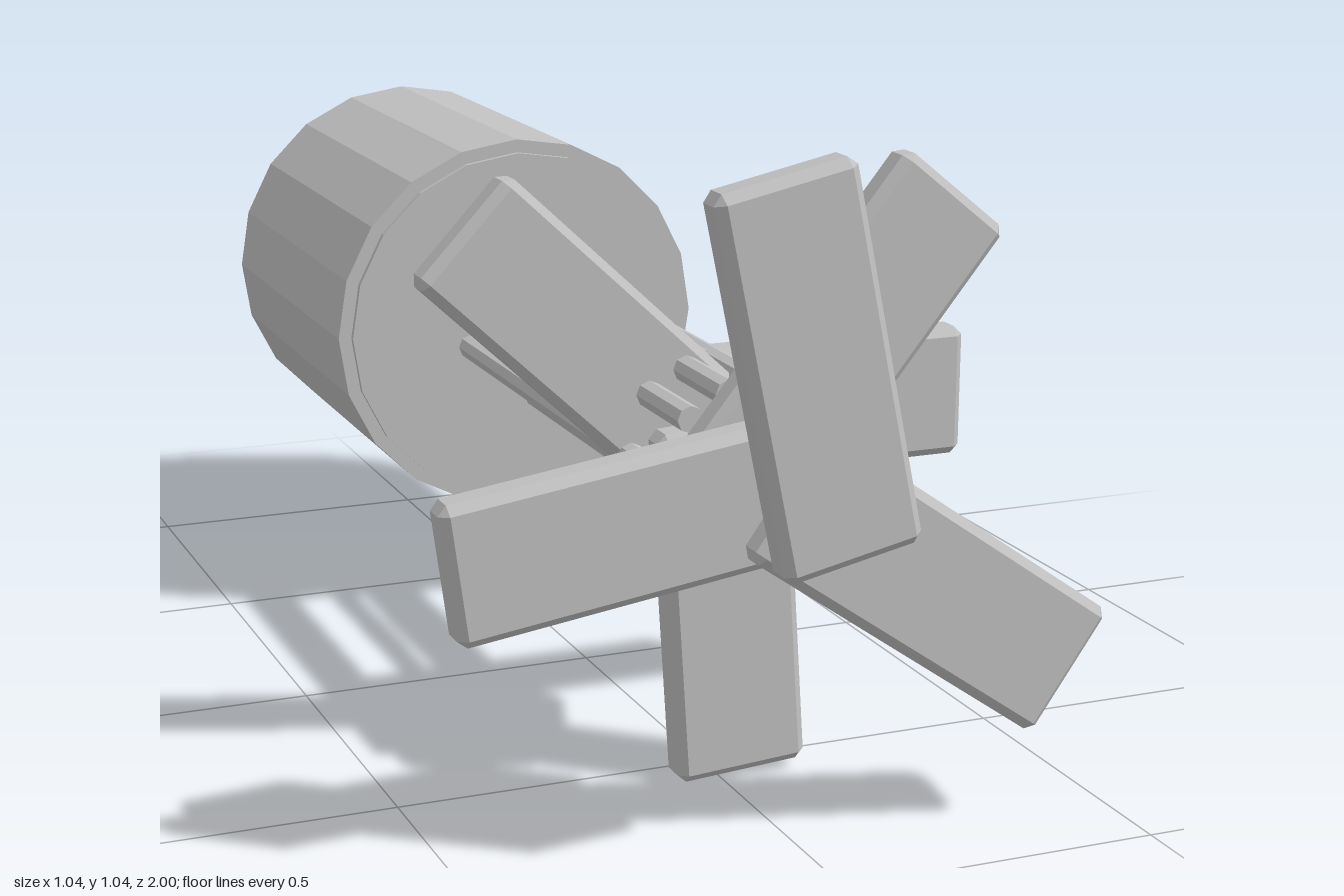
import * as THREE from 'three';
import { ConvexGeometry } from 'three/addons/geometries/ConvexGeometry.js';

const AXIS_Y = 0.523;
const STEP = THREE.MathUtils.degToRad(137); // turn from one blade to the next

// Box with every edge and corner cut flat by c
function chamferedBox(w, h, d, c) {
  const [x, y, z] = [w / 2, h / 2, d / 2];
  const points = [];
  for (const sx of [-1, 1]) for (const sy of [-1, 1]) for (const sz of [-1, 1]) {
    points.push(
      new THREE.Vector3(sx * x, sy * (y - c), sz * (z - c)),
      new THREE.Vector3(sx * (x - c), sy * y, sz * (z - c)),
      new THREE.Vector3(sx * (x - c), sy * (y - c), sz * z)
    );
  }
  return new ConvexGeometry(points);
}

// Cylinder lying along z between two depths
function rodAlongZ(radius, zBack, zFront, sides) {
  return new THREE.CylinderGeometry(radius, radius, zFront - zBack, sides)
    .rotateX(Math.PI / 2)
    .translate(0, 0, (zBack + zFront) / 2);
}

export function createModel() {
  const model = new THREE.Group();
  const grey = new THREE.MeshStandardMaterial({ color: 0xc0c0c0, flatShading: true });
  grey.name = 'grey';

  const add = (name, geometry, x = 0, y = 0, z = 0, turn = 0) => {
    const mesh = new THREE.Mesh(geometry, grey);
    mesh.name = name;
    mesh.position.set(x, AXIS_Y + y, z);
    mesh.rotation.z = turn;
    model.add(mesh);
  };

  // Drum at the back with a thin raised disc on its front
  add('drum', rodAlongZ(0.333, -1, -0.335, 20));
  add('drumDisc', rodAlongZ(0.31, -0.34, -0.325, 20));

  // Seven blades stepping forward in a spiral, each with its rod
  const blade = chamferedBox(0.56, 0.213, 0.062, 0.014);
  const rod = rodAlongZ(0.021, -0.265, 0.635, 8);
  for (let i = 0; i < 7; i++) {
    const a = i * STEP;
    const c = Math.cos(a), s = Math.sin(a);
    add('blade' + (i + 1), blade, 0.234 * c, 0.234 * s, 0.341 + i * 0.1047, a);
    add('rod' + (i + 1), rod, 0.115 * c, 0.115 * s);
  }
  return model;
}
